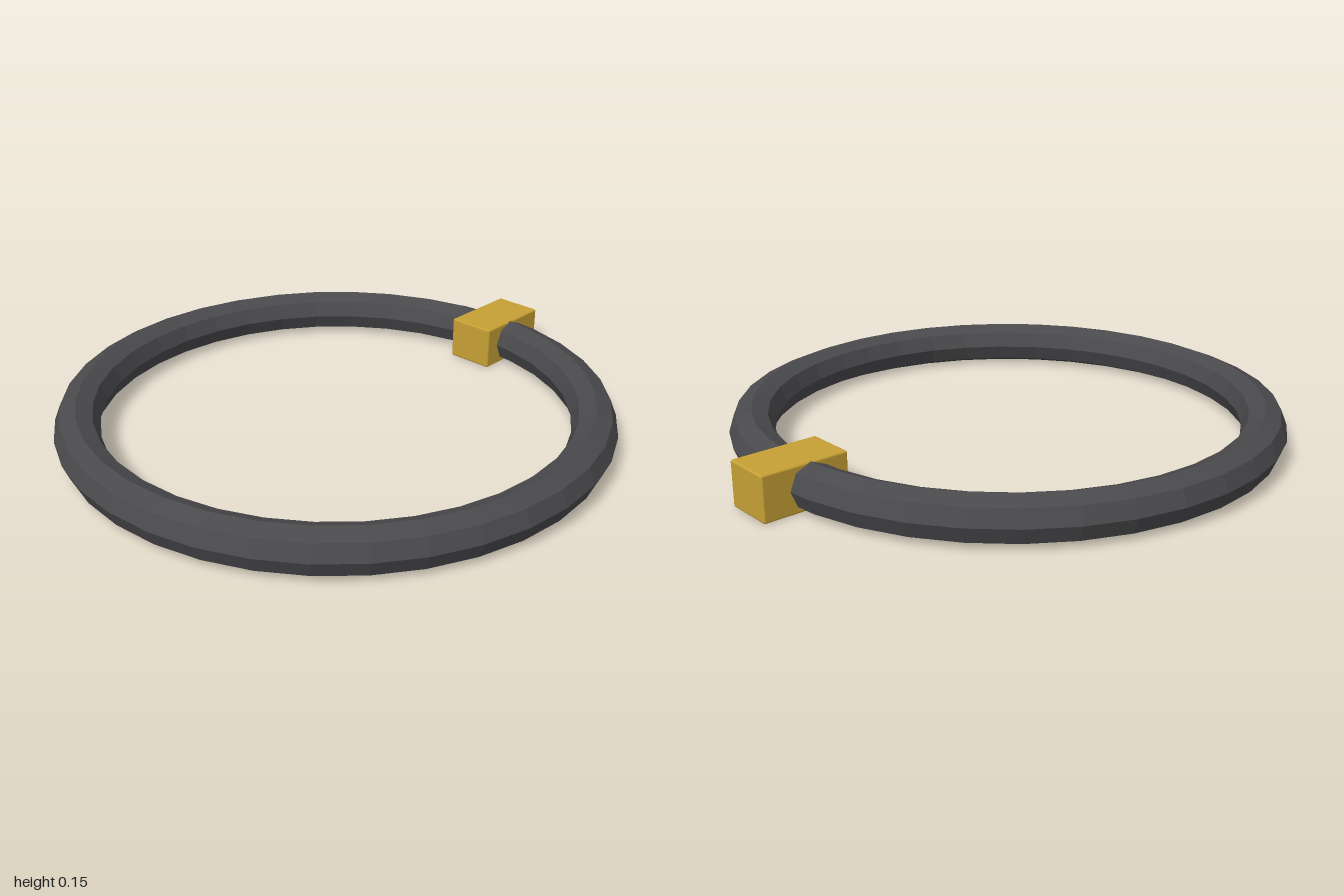
import * as THREE from 'three';
import { RoundedBoxGeometry } from 'three/addons/geometries/RoundedBoxGeometry.js';

export function createModel() {
  const model = new THREE.Group();
  model.name = 'ringWithClasp';

  const charcoal = new THREE.MeshStandardMaterial({ color: 0x4a4a4d, flatShading: true });
  charcoal.name = 'charcoal';
  const gold = new THREE.MeshStandardMaterial({ color: 0xc6a035 });
  gold.name = 'gold';

  const tube = 0.0767;
  const radius = 0.88;

  // Octagonal ring lying flat on the ground
  const ring = new THREE.Mesh(new THREE.TorusGeometry(radius, tube, 8, 36), charcoal);
  ring.name = 'ring';
  ring.rotation.x = -Math.PI / 2;
  ring.position.set(-0.0433, tube, 0);
  model.add(ring);

  // Block clasp with softened edges, wrapped around the ring on its left side
  const clasp = new THREE.Mesh(new RoundedBoxGeometry(0.303, 2 * tube + 0.001, 0.176, 2, 0.007), gold);
  clasp.name = 'clasp';
  clasp.position.set(0.8485, tube, 0);
  model.add(clasp);

  return model;
}
